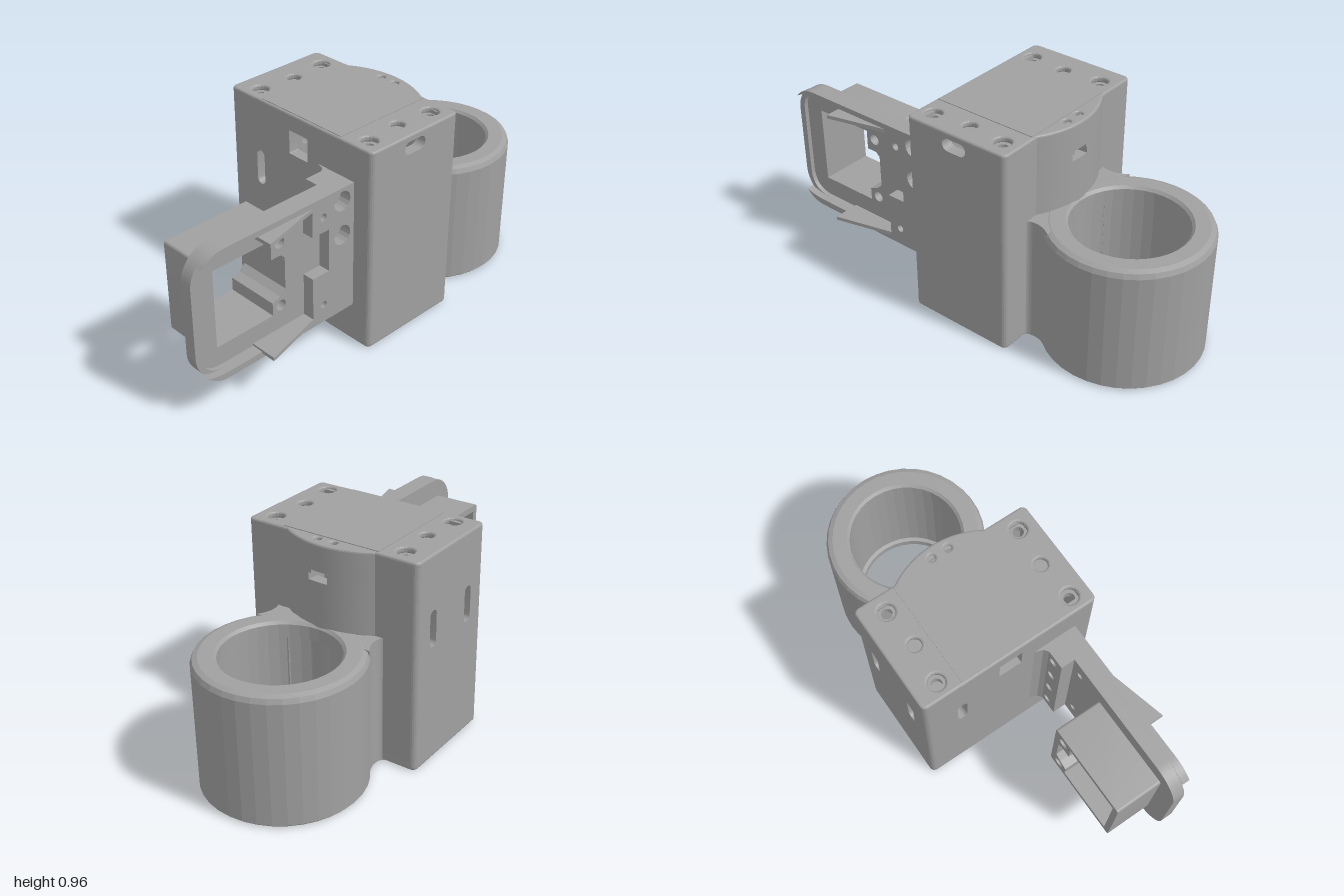
import * as THREE from 'three';
import { toCreasedNormals } from 'three/addons/utils/BufferGeometryUtils.js';

export function createModel() {
  const model = new THREE.Group();
  const grey = new THREE.MeshStandardMaterial({ color: 0xa0a0a0 });
  grey.name = 'grey plastic';

  const add = (name, geo, parent = model) => {
    const mesh = new THREE.Mesh(toCreasedNormals(geo, 0.15), grey);
    mesh.name = name;
    parent.add(mesh);
    return mesh;
  };
  const group = (name) => {
    const g = new THREE.Group();
    g.name = name;
    model.add(g);
    return g;
  };
  const box = (x0, x1, y0, y1, z0, z1) =>
    new THREE.BoxGeometry(x1 - x0, y1 - y0, z1 - z0)
      .translate((x0 + x1) / 2, (y0 + y1) / 2, (z0 + z1) / 2);

  // Shape helpers
  const poly = (pts) => new THREE.Shape(pts.map(([x, y]) => new THREE.Vector2(x, y)));
  const circle = (x, y, r) => new THREE.Shape().absarc(x, y, r, 0, Math.PI * 2);
  const roundRect = (x0, x1, y0, y1, rl, rr = rl) => {
    const s = new THREE.Shape();
    const q = Math.PI / 2;
    const corner = (x, y, r, a) => (r ? s.absarc(x, y, r, a, a + q) : s.lineTo(x, y));
    s.moveTo(x0 + rl, y0);
    corner(x1 - rr, y0 + rr, rr, -q);
    corner(x1 - rr, y1 - rr, rr, 0);
    corner(x0 + rl, y1 - rl, rl, q);
    corner(x0 + rl, y0 + rl, rl, 2 * q);
    return s;
  };
  const extrude = (shape, holes, depth, b = 0) => {
    shape.holes.push(...holes);
    return new THREE.ExtrudeGeometry(shape, {
      depth: depth - 2 * b, curveSegments: 8, bevelEnabled: b > 0, bevelSegments: 3,
      bevelSize: b, bevelThickness: b, bevelOffset: -b,
    }).translate(0, 0, b);
  };
  // Slabs: along z; along x with shape (-z, y); along y with shape (x, z)
  const slabZ = (s, holes, z0, z1) => extrude(s, holes, z1 - z0).translate(0, 0, z0);
  const slabX = (s, holes, x0, x1) =>
    extrude(s, holes, x1 - x0).rotateY(Math.PI / 2).translate(x0, 0, 0);
  const slabY = (s, holes, y0, y1, b) =>
    extrude(s, holes, y1 - y0, b).rotateX(Math.PI / 2).translate(0, y1, 0);

  // Housing: hollow box with a shallow cylindrical bulge on its +x side
  const housing = group('housing');
  const R = 0.405, CX = -0.02, A = Math.asin(0.22 / R);
  const footprint = (inset = 0) => {
    const s = new THREE.Shape(), r = 0.025, q = Math.PI / 2;
    const x0 = -0.19 + inset, x1 = 0.32 - inset, z = 0.42 - inset;
    s.moveTo(x0 + r, -z);
    s.absarc(x1 - r, -z + r, r, -q, 0);
    s.absarc(CX - inset, 0, R, -A, A);
    s.absarc(x1 - r, z - r, r, 0, q);
    s.absarc(x0 + r, z - r, r, q, 2 * q);
    s.absarc(x0 + r, -z + r, r, 2 * q, 3 * q);
    return s;
  };
  const screws = [[-0.12, -0.31], [0.24, -0.31], [-0.12, 0.335], [0.24, 0.335]];
  const pins = [[0.06, -0.295, 0.03], [0.06, 0.32, 0.03], [0.335, -0.03, 0.016], [0.335, 0.05, 0.016]];
  const holes = (r) => screws.map(([x, z]) => circle(x, z, r));

  add('topCap', slabY(footprint(),
    [...holes(0.037), ...pins.map((p) => circle(...p))], 0.928, 0.957, 0.01), housing);
  add('screwSeat', slabY(footprint(0.04), holes(0.024), 0.895, 0.93), housing);
  add('lidPanel', box(-0.18, 0.31, 0.95, 0.96, -0.23, 0.24), housing);
  add('bottomCap', slabY(footprint(), holes(0.024), 0, 0.05, 0.012), housing);

  // Walls with cable slots
  const yb = 0.015, yt = 0.946;
  add('frontWall', slabZ(roundRect(-0.165, 0.295, yb, yt, 0),
    [roundRect(0, 0.12, 0.87, 0.928, 0.028)], 0.37, 0.42), housing);
  add('backWall', slabZ(roundRect(-0.165, 0.295, yb, yt, 0),
    [-0.07, 0.2].map((x) => roundRect(x - 0.024, x + 0.024, 0.545, 0.71, 0.023)), -0.42, -0.37), housing);
  add('sideWall', slabX(roundRect(-0.395, 0.395, yb, yt, 0), [
    roundRect(0.216, 0.264, 0.545, 0.71, 0.023),
    roundRect(-0.055, 0.055, 0.77, 0.88, 0.005),
  ], -0.19, -0.14), housing);
  for (const s of [-1, 1]) {
    add('ringSideWall', box(0.27, 0.32, yb, yt, s > 0 ? 0.2 : -0.395, s > 0 ? 0.395 : -0.2), housing);
    for (const x of [-0.165, 0.295]) {
      add('cornerEdge', new THREE.CylinderGeometry(0.025, 0.025, yt - yb, 20)
        .translate(x, (yt + yb) / 2, s * 0.395), housing);
    }
  }

  // Curved bulge wall, left open at the cable window
  const arcWall = (z0, z1, y0, y1) => {
    const a0 = Math.asin(z0 / R), a1 = Math.asin(z1 / R);
    const s = new THREE.Shape();
    s.absarc(CX, 0, R, a0, a1, false);
    s.absarc(CX, 0, R - 0.05, a1, a0, true);
    add('bulgeWall', slabY(s, [], y0, y1), housing);
  };
  arcWall(-0.22, 0.22, yb, 0.79);
  arcWall(-0.22, -0.03, 0.79, 0.82);
  arcWall(0.065, 0.22, 0.79, 0.82);
  arcWall(-0.22, -0.02, 0.82, 0.836);
  arcWall(0.05, 0.22, 0.82, 0.836);
  arcWall(-0.22, 0.22, 0.836, yt);

  // Ring holder: thick tube with rounded rim and a stepped bore
  const holder = group('ringHolder');
  const profile = [
    [0.245, 0], [0.345, 0], [0.355, 0.01], [0.355, 0.56], [0.346, 0.581], [0.325, 0.59],
    [0.262, 0.59], [0.25, 0.578], [0.25, 0.52], [0.262, 0.515], [0.262, 0.04], [0.245, 0.035], [0.245, 0],
  ].map(([r, y]) => new THREE.Vector2(r, y));
  add('ring', new THREE.LatheGeometry(profile, 36).translate(0.64, 0, 0.015), holder);
  add('boreTab', box(0.37, 0.43, 0.1, 0.16, -0.01, 0.035), holder);

  // Necks that blend the ring into the housing
  for (const [s, z] of [[1, 0.27], [-1, -0.245]]) {
    const inner = z - s * 0.12;
    const neck = new THREE.Shape();
    neck.moveTo(0.3, inner);
    neck.lineTo(0.42, inner);
    neck.lineTo(0.44, z + s * 0.03);
    neck.quadraticCurveTo(0.39, z - s * 0.005, 0.35, z);
    neck.quadraticCurveTo(0.325, z, 0.315, z + s * 0.02);
    neck.lineTo(0.3, z + s * 0.02);
    add('neck', slabY(neck, [], 0, 0.588), holder);
  }

  // Side plate: base, pocket rim and open front lip
  const plate = group('sidePlate');
  const outline = () => roundRect(-1, -0.19, 0.19, 0.79, 0.14, 0);
  const windowHole = () => poly([
    [-0.88, 0.31], [-0.59, 0.31], [-0.59, 0.37], [-0.55, 0.385], [-0.52, 0.41],
    [-0.52, 0.56], [-0.54, 0.58], [-0.59, 0.58], [-0.59, 0.67], [-0.88, 0.67],
  ]);
  const bosses = () => [0.34, 0.64].map((y) => circle(-0.545, y, 0.025));
  const small = () => [0.275, 0.7].map((y) => circle(-0.36, y, 0.017));
  const large = () => [0.57, 0.73].map((y) => circle(-0.255, y, 0.045));
  const flangeHoles = () => [0.25, 0.41, 0.57, 0.73].map((y) => circle(-0.255, y, 0.022));

  const pocket = new THREE.Shape();
  pocket.moveTo(-0.86, 0.22);
  [[-0.42, 0.22], [-0.42, 0.43], [-0.33, 0.43], [-0.33, 0.63], [-0.42, 0.63], [-0.42, 0.765], [-0.86, 0.765]]
    .forEach((p) => pocket.lineTo(...p));
  pocket.quadraticCurveTo(-0.97, 0.765, -0.97, 0.655);
  pocket.lineTo(-0.97, 0.33);
  pocket.quadraticCurveTo(-0.97, 0.22, -0.86, 0.22);

  const lip = new THREE.Shape();
  lip.moveTo(-0.19, 0.19);
  lip.lineTo(-0.19, 0.79);
  lip.lineTo(-0.86, 0.79);
  lip.quadraticCurveTo(-0.93, 0.79, -0.97, 0.74);
  lip.quadraticCurveTo(-0.93, 0.765, -0.86, 0.765);
  [[-0.42, 0.765], [-0.42, 0.63], [-0.33, 0.63], [-0.33, 0.43], [-0.42, 0.43], [-0.42, 0.22], [-0.86, 0.22]]
    .forEach((p) => lip.lineTo(...p));
  lip.quadraticCurveTo(-0.93, 0.22, -0.97, 0.24);
  lip.quadraticCurveTo(-0.93, 0.19, -0.86, 0.19);

  add('plateBase', slabZ(outline(),
    [windowHole(), ...bosses(), ...small(), ...flangeHoles()], 0.235, 0.27), plate);
  add('plateRim', slabZ(outline(), [pocket, ...small(), ...large()], 0.27, 0.29), plate);
  add('plateLip', slabZ(lip, [...small(), ...large()], 0.29, 0.325), plate);

  // Rear window tube with screw bosses, and the mounting flange
  add('windowTube', slabZ(roundRect(-0.91, -0.49, 0.28, 0.7, 0.012),
    [windowHole(), ...bosses()], 0.02, 0.24), plate);
  add('flange', slabZ(roundRect(-0.31, -0.19, 0.19, 0.79, 0), flangeHoles(), 0.17, 0.236), plate);
  add('flangeFillet', slabY(poly([[-0.225, 0.172], [-0.203, 0.155], [-0.19, 0.12], [-0.18, 0.172]]),
    [], 0.19, 0.79), plate);

  // Snap wedges on the front of the plate
  for (const y of [0.213, 0.748]) {
    add('snapWedge', slabY(poly([[-0.7, 0.27], [-0.42, 0.27], [-0.42, 0.325], [-0.7, 0.395]]),
      [], y, y + 0.017), plate);
  }
  return model;
}
